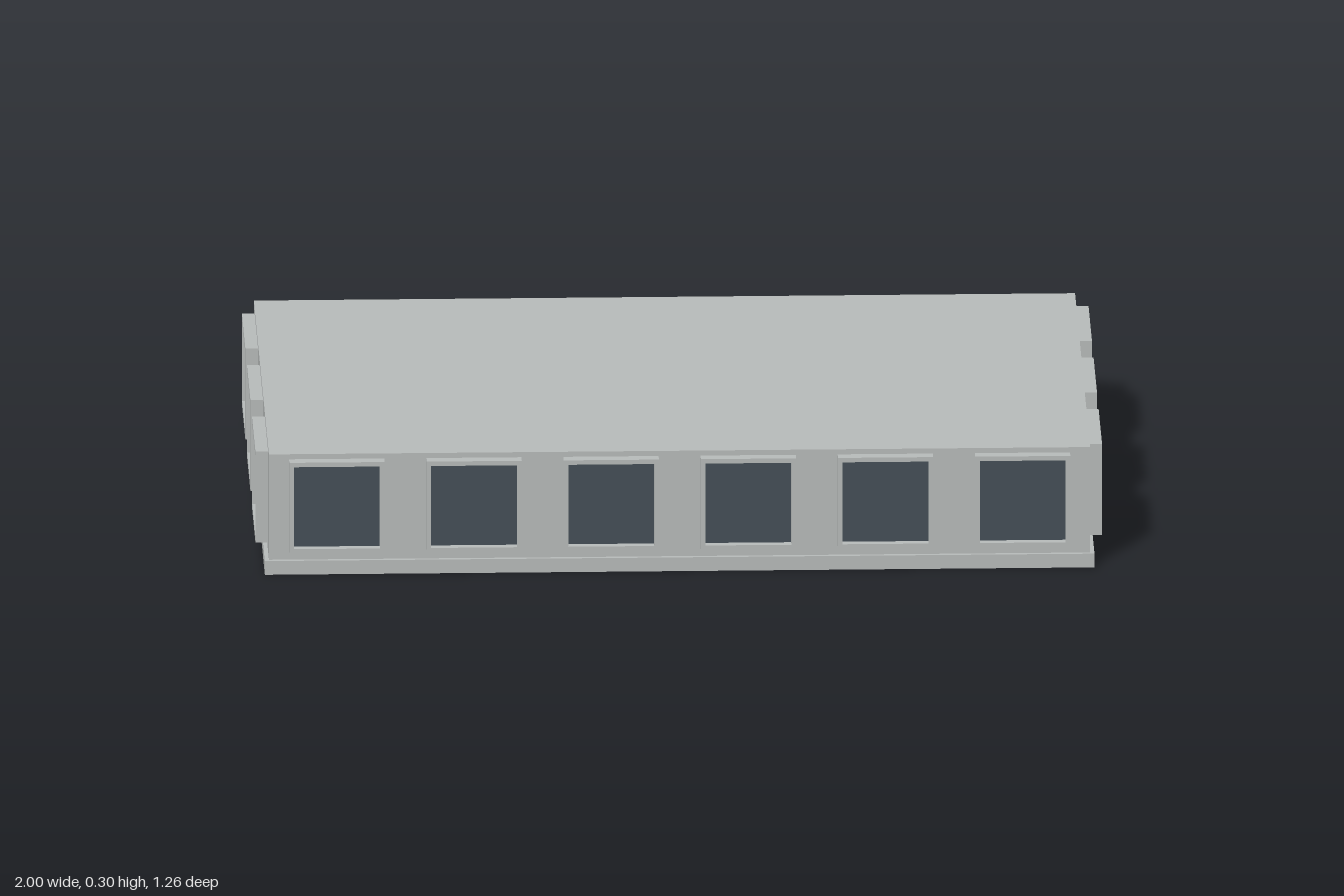
import * as THREE from 'three';

const concrete = new THREE.MeshStandardMaterial({ color: 0xb8bcbb });
concrete.name = 'pale concrete';
const glass = new THREE.MeshStandardMaterial({ color: 0x454f57 });
glass.name = 'dark glass';

const HALF_X = 0.97, HALF_Z = 0.6;

function box(name, w, h, d, y, material) {
  const mesh = new THREE.Mesh(new THREE.BoxGeometry(w, h, d), material);
  mesh.name = name;
  mesh.position.y = y;
  return mesh;
}

// Window facing +z: projecting hollow frame around a recessed pane
function makeWindow(width, height, bar, depth) {
  const w = width / 2, h = height / 2;
  const rect = (C, a, b) => new C([
    new THREE.Vector2(-a, -b), new THREE.Vector2(a, -b),
    new THREE.Vector2(a, b), new THREE.Vector2(-a, b),
  ]);
  const shape = rect(THREE.Shape, w, h);
  shape.holes.push(rect(THREE.Path, w - bar, h - bar));
  const frame = new THREE.Mesh(
    new THREE.ExtrudeGeometry(shape, { depth, bevelEnabled: false }), concrete);
  frame.name = 'windowFrame';
  const pane = box('windowPane', width - 2 * bar, height - 2 * bar, 0.008, 0, glass);
  pane.position.z = 0.004;
  const group = new THREE.Group();
  group.name = 'window';
  group.add(frame, pane);
  return group;
}

// Evenly spaced row of windows on one wall
function windowRow(name, count, spacing, width, bar, depth, wall, angle) {
  const row = new THREE.Group();
  row.name = name;
  for (let i = 0; i < count; i++) {
    const win = makeWindow(width, 0.225, bar, depth);
    win.position.set((i - (count - 1) / 2) * spacing, 0.17, wall);
    row.add(win);
  }
  row.rotation.y = angle;
  return row;
}

export function createModel() {
  const model = new THREE.Group();
  model.name = 'buildingFloor';

  // Floor slab and main block
  model.add(box('baseSlab', 1.96, 0.034, 1.22, 0.017, concrete));
  model.add(box('mainBlock', HALF_X * 2, 0.261, HALF_Z * 2, 0.1645, concrete));

  // Windows on the four walls
  model.add(windowRow('frontWindows', 6, 0.324, 0.225, 0.011, 0.028, HALF_Z, 0));
  model.add(windowRow('backWindows', 7, 0.278, 0.197, 0.011, 0.028, HALF_Z, Math.PI));
  model.add(windowRow('leftWindows', 3, 0.402, 0.273, 0.013, 0.03, HALF_X, Math.PI / 2));
  model.add(windowRow('rightWindows', 3, 0.402, 0.273, 0.013, 0.03, HALF_X, -Math.PI / 2));
  return model;
}
